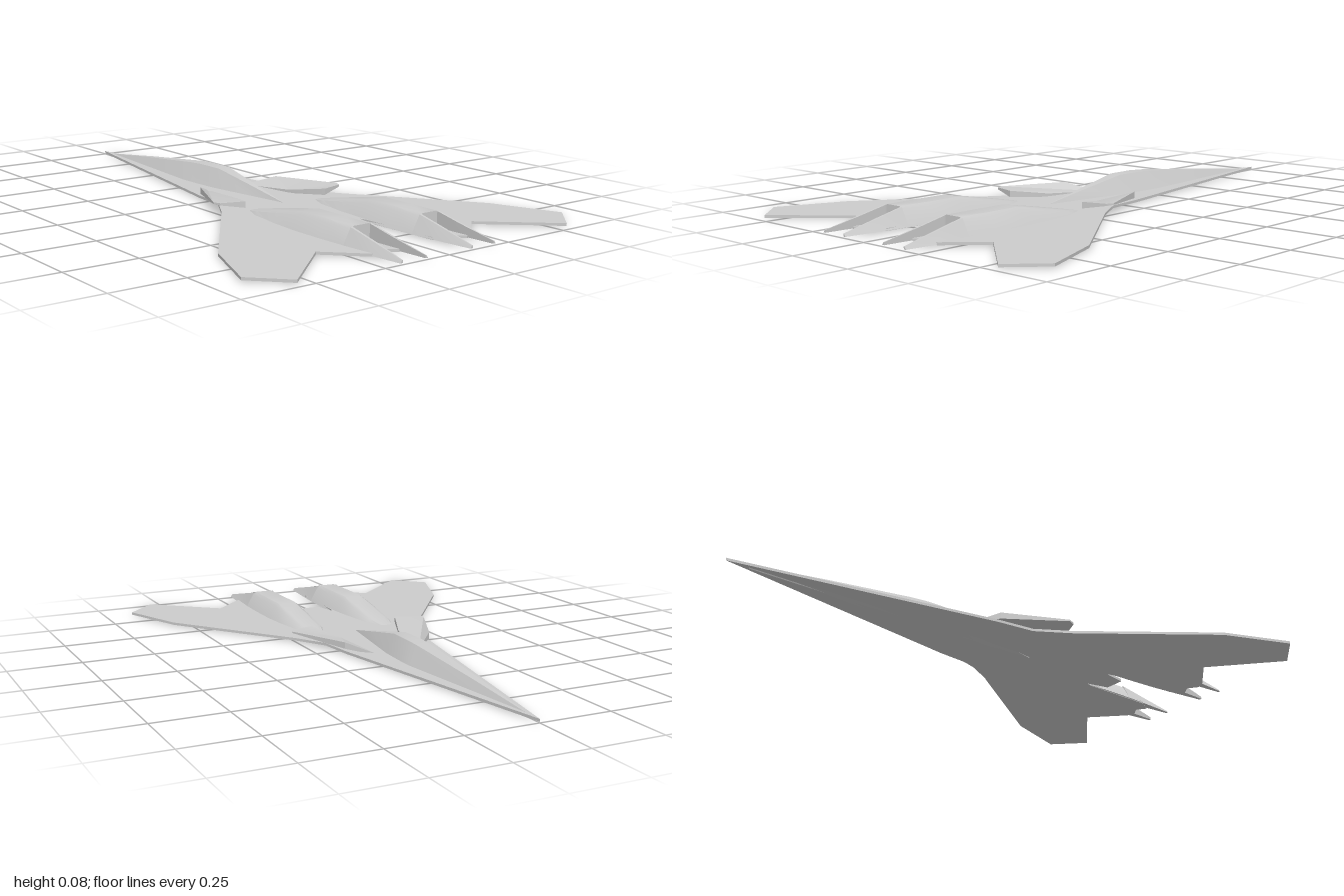
import * as THREE from 'three';
import { toCreasedNormals } from 'three/addons/utils/BufferGeometryUtils.js';

const material = new THREE.MeshStandardMaterial({ color: 0xcccccc });

function addMesh(parent, geometry, name, crease = 0.6) {
  const mesh = new THREE.Mesh(toCreasedNormals(geometry, crease), material);
  mesh.name = name;
  parent.add(mesh);
}

// Capped loft along +z; each section is { z, ring }, ring running counter-clockwise seen from +z
function loft(sections, side = 1) {
  const rings = sections.map(({ z, ring }) => {
    const r = ring.map(([x, y]) => [x * side, y, z]);
    return side < 0 ? r.reverse() : r;
  });
  const n = rings[0].length, pos = [];
  const tri = (a, b, c) => pos.push(...a, ...b, ...c);
  for (let s = 0; s < rings.length - 1; s++) {
    for (let i = 0; i < n; i++) {
      const j = (i + 1) % n, p = rings[s], q = rings[s + 1];
      tri(p[i], p[j], q[j]);
      tri(p[i], q[j], q[i]);
    }
  }
  const first = rings[0], last = rings[rings.length - 1];
  for (let i = 1; i < n - 1; i++) {
    tri(first[0], first[i + 1], first[i]);
    tri(last[0], last[i], last[i + 1]);
  }
  const g = new THREE.BufferGeometry();
  g.setAttribute('position', new THREE.Float32BufferAttribute(pos, 3));
  return g;
}

// Flat plate from [x, z] plan points, from y = 0 up to the given height
function plate(points, height) {
  const shape = new THREE.Shape(points.map(([x, z]) => new THREE.Vector2(x, -z)));
  const g = new THREE.ExtrudeGeometry(shape, { depth: height, bevelEnabled: false });
  return g.rotateX(-Math.PI / 2);
}

export function createModel() {
  const group = new THREE.Group();

  // Thin delta plate: nose, wings and tail
  const half = [
    [0.165, -0.06], [0.18, 0.08], [0.25, 0.2], [0.56, 0.625], [0.652, 0.865], [0.545, 0.975],
    [0.32, 0.777], [0.205, 0.89], [0.175, 0.9], [0.14, 0.875], [0.105, 0.9],
    [0.075, 0.85], [0.063, 0.56], [0.055, 0.54], [0.038, 0.628],
  ];
  const outline = [[0, -1], ...half, ...half.map(([x, z]) => [-x, z]).reverse()];
  addMesh(group, plate(outline, 0.009).translate(0, 0.003, 0), 'wingPlate');

  // Faceted spine with a shallow keel: z, base half width, top half width, top height
  const spine = [
    [-0.92, 0.004, 0.001, 0.013], [-0.65, 0.03, 0.012, 0.042], [-0.32, 0.062, 0.024, 0.073],
    [-0.25, 0.061, 0.025, 0.077], [-0.14, 0.055, 0.023, 0.077], [0.05, 0.027, 0.01, 0.042],
    [0.21, 0.002, 0.001, 0.012],
  ].map(([z, b, t, y]) => ({ z, ring: [[0, 0], [b, 0.008], [t, y], [-t, y], [-b, 0.008]] }));
  addMesh(group, loft(spine), 'fuselageSpine', 0.3);

  // Engine housings mirrored about their own centre line x = 0.14
  const cx = 0.14;
  const housing = [
    [0.23, 0.025, 0.02, 0.012, 0.001], [0.3, 0.055, 0.036, 0.025, 0.003],
    [0.42, 0.07, 0.042, 0.047, 0.006], [0.53, 0.078, 0.045, 0.066, 0.01],
    [0.66, 0.078, 0.045, 0.066, 0.01], [0.77, 0.074, 0.042, 0.066, 0.008],
  ].map(([z, b, t, y, r]) => ({
    z,
    ring: [[b, 0.005], [t, y - r], [t - 0.012, y], [-t + 0.012, y], [-t, y - r], [-b, 0.005]]
      .map(([x, h]) => [cx + x, h]),
  }));

  // Tapering prongs either side of each exhaust: z, inner x, outer x, top x, height
  const prong = [
    [0.77, 0.034, 0.074, 0.042, 0.064], [0.87, 0.036, 0.066, 0.044, 0.042],
    [1.0, 0.044, 0.054, 0.047, 0.014],
  ];
  const prongSections = (flip) => prong.map(([z, a, b, t, y]) => {
    const ring = [[a, 0.005], [b, 0.005], [t, y], [a, y]].map(([x, h]) => [cx + flip * x, h]);
    return { z, ring: flip < 0 ? ring.reverse() : ring };
  });

  // Foreplane plan points
  const foreplane = [[0.08, -0.13], [0.165, -0.05], [0.265, 0.175], [0.255, 0.2], [0.17, 0.225], [0.115, 0.09]];

  for (const side of [1, -1]) {
    const label = side > 0 ? 'left' : 'right';
    addMesh(group, loft(housing, side), label + 'EngineHousing');
    addMesh(group, loft(prongSections(1), side), label + 'OuterExhaustProng');
    addMesh(group, loft(prongSections(-1), side), label + 'InnerExhaustProng');

    // Foreplane rises out of the plate and thins towards its tip
    const g = plate(foreplane.map(([x, z]) => [x * side, z]), 1);
    const p = g.attributes.position;
    for (let i = 0; i < p.count; i++) {
      const d = Math.abs(p.getX(i)) - 0.08;
      p.setY(i, p.getY(i) > 0.5 ? Math.min(0.042, 0.008 + d * 0.4) : 0.004 + d * 0.175);
    }
    addMesh(group, g, label + 'Foreplane', 0.3);
  }
  return group;
}
